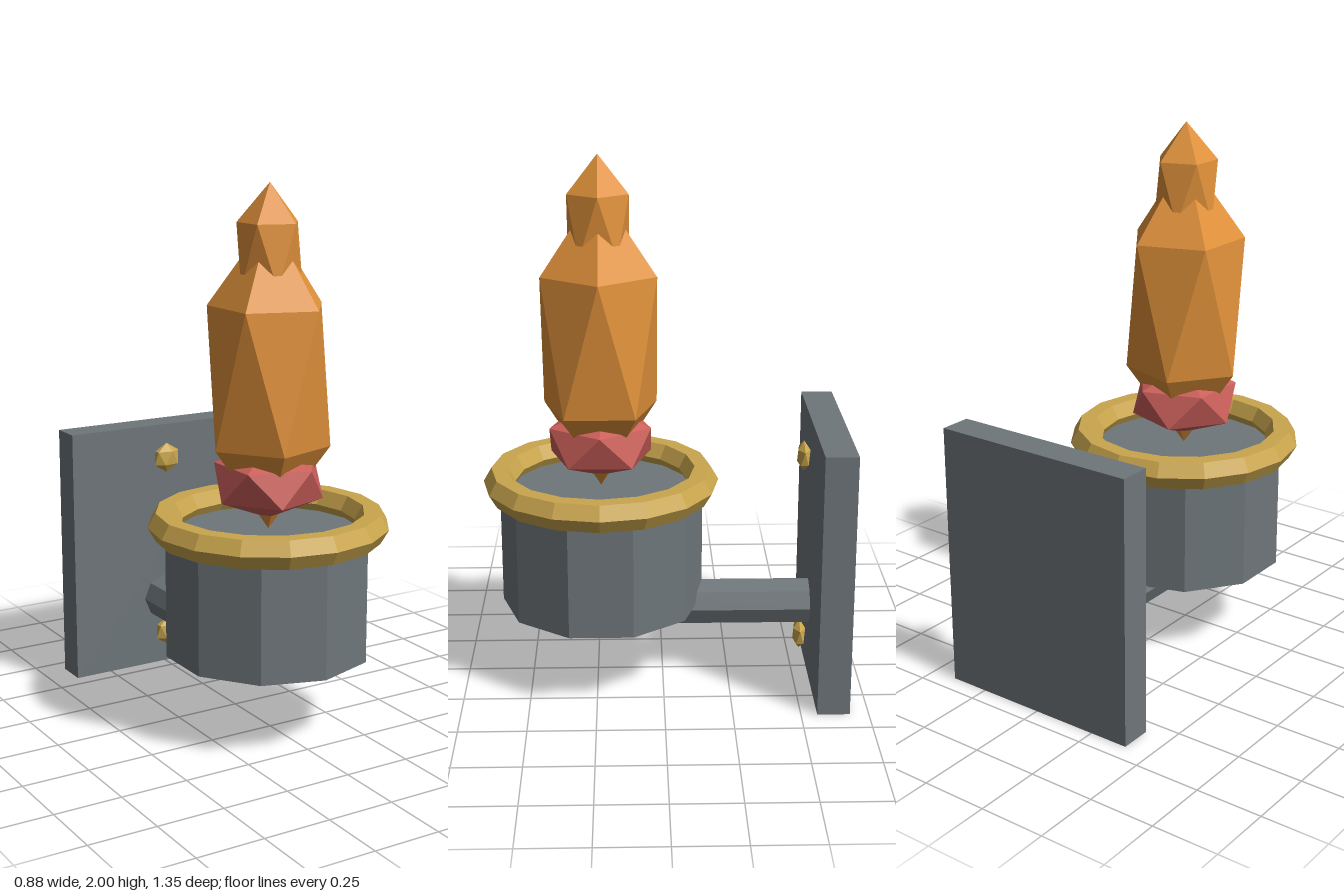
import * as THREE from 'three';

const material = (name, color) => {
  const m = new THREE.MeshStandardMaterial({ color, flatShading: true });
  m.name = name;
  return m;
};

export function createModel() {
  const iron = material('grey iron', 0x6e767a);
  const brass = material('brass', 0xc9a54d);
  const fire = material('orange flame', 0xe0913a);
  const ember = material('red ember', 0xcb5f5a);

  const model = new THREE.Group();
  model.name = 'wallTorch';
  const bowlZ = 0.23;

  const add = (name, geometry, mat, x, y, z) => {
    const mesh = new THREE.Mesh(geometry, mat);
    mesh.name = name;
    mesh.position.set(x, y, z);
    model.add(mesh);
    return mesh;
  };

  // Icosahedron standing on a corner, upper ring pointing to +x, then stretched
  const gem = (rx, ry, rz) =>
    new THREE.IcosahedronGeometry(1, 0)
      .rotateX(-Math.atan((1 + Math.sqrt(5)) / 2))
      .rotateY(Math.PI / 2)
      .scale(rx, ry, rz);

  // Wall plate and its two bolts
  add('wallPlate', new THREE.BoxGeometry(0.8, 1, 0.12), iron, 0, 0.5, -0.62);
  for (const [name, y] of [['lowerBolt', 0.14], ['upperBolt', 0.87]]) {
    add(name, gem(0.06, 0.06, 0.027), brass, 0, y, -0.53);
  }

  // Eight-sided arm from the plate to under the bowl
  add('arm', new THREE.CylinderGeometry(0.09, 0.09, 0.78, 8).rotateX(Math.PI / 2), iron, 0, 0.28, -0.19);

  // Bowl with a brass rim
  add('bowl', new THREE.CylinderGeometry(0.38, 0.38, 0.45, 10), iron, 0, 0.525, bowlZ);
  add('rim', new THREE.TorusGeometry(0.38, 0.06, 6, 16).rotateX(-Math.PI / 2), brass, 0, 0.78, bowlZ);

  // Ember and two stacked flames
  add('ember', gem(0.22, 0.14, 0.22), ember, 0, 0.94, bowlZ);
  add('flame', gem(0.247, 0.56, 0.247), fire, 0, 1.32, bowlZ);
  add('flameTip', gem(0.13, 0.25, 0.13), fire, 0, 1.75, bowlZ);

  return model;
}
